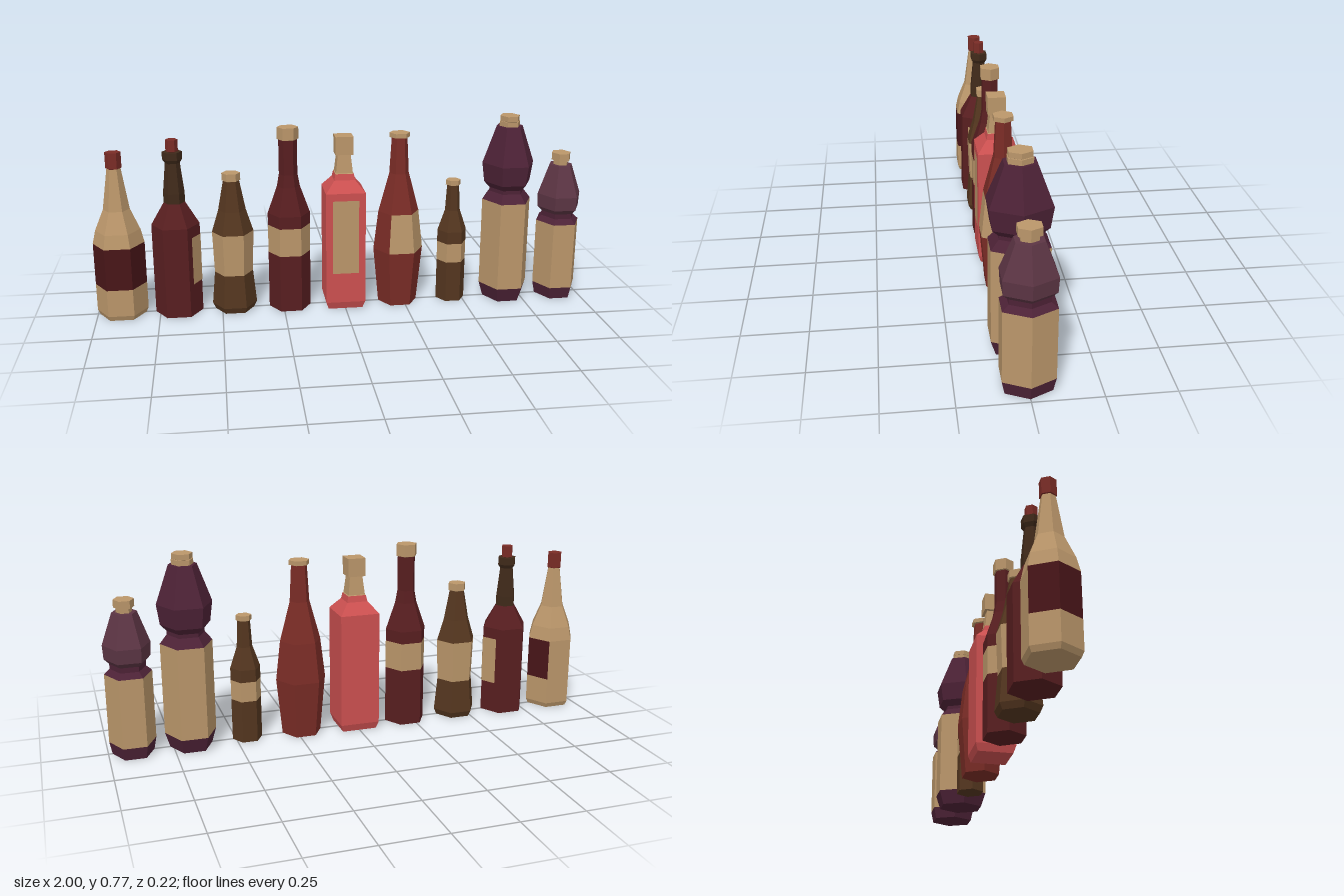
import * as THREE from 'three';

const TAN = 0xba966a, WINE = 0x581e20, MAROON = 0x481518, RUST = 0x7a2c26, PINK = 0xcc5050;
const BROWN = 0x54361f, DARK_BROWN = 0x402a1a, PURPLE = 0x4d2236, PLUM = 0x5c3544;

// A faceted bottle stacked upward, each band starting where the last one ended
class Bottle extends THREE.Group {
  constructor(name, x, sides = 6, depth = 1) {
    super();
    this.name = name;
    this.position.x = x;
    this.sides = sides;
    this.depth = depth;
    this.corner = sides === 4 ? Math.SQRT2 : 1; // square bottles use half widths
    this.end = [0, 0];
  }

  part(name, color, geometry) {
    const mesh = new THREE.Mesh(geometry.scale(1, 1, this.depth), new THREE.MeshStandardMaterial({
      color, flatShading: true, side: THREE.DoubleSide,
    }));
    mesh.name = name;
    this.add(mesh);
  }

  // Profile of [radius, y] turned over a run of faces
  faces(name, color, first, count, points) {
    const step = (2 * Math.PI) / this.sides;
    const profile = [this.end, ...points].map(([r, y]) => new THREE.Vector2(r * this.corner, y));
    this.part(name, color, new THREE.LatheGeometry(profile, count, step * (first + 0.5), step * count));
  }

  band(name, color, ...points) {
    this.faces(name, color, 0, this.sides, points);
    this.end = points.at(-1);
    return this;
  }

  // A label on some faces, with the glass showing on the others
  partLabel(color, glass, first, count, point) {
    this.faces('label', color, first, count, [point]);
    this.faces('bareSide', glass, first + count, this.sides - count, [point]);
    this.end = point;
    return this;
  }

  // A closed cap standing on the last ring
  cap(color, radius, top) {
    return this.band('cap', color, [radius, this.end[1] + 0.002], [radius, top], [0, top]);
  }

  // A flat label on one face, spanning the fractions a..b of its width
  panel(color, radius, face, a, b, y0, y1) {
    const half = Math.PI / this.sides;
    const r = radius * this.corner;
    const width = 2 * r * Math.sin(half);
    const geometry = new THREE.PlaneGeometry((b - a) * width, y1 - y0);
    geometry.translate(((a + b) / 2 - 0.5) * width, (y0 + y1) / 2, r * Math.cos(half) + 0.0015);
    this.part('label', color, geometry.rotateY(half * (2 * face + 2)));
    return this;
  }
}

function tallLightBottle() {
  return new Bottle('tallLightBottle', -0.9)
    .band('base', TAN, [0.092, 0], [0.101, 0.02], [0.101, 0.13])
    .partLabel(MAROON, TAN, 3, 5, [0.101, 0.3])
    .band('neck', TAN, [0.088, 0.355], [0.052, 0.44], [0.027, 0.605])
    .cap(RUST, 0.031, 0.67);
}

// The label wraps round the corner at the side
function slimNeckBottle() {
  return new Bottle('slimNeckBottle', -0.674)
    .band('body', WINE, [0.095, 0], [0.095, 0.37], [0.042, 0.46])
    .band('neck', DARK_BROWN, [0.042, 0.5], [0.029, 0.62], [0.039, 0.635], [0.039, 0.665], [0.02, 0.665])
    .cap(RUST, 0.024, 0.713)
    .panel(TAN, 0.095, 0, 0.3, 1, 0.13, 0.325)
    .panel(TAN, 0.095, 1, 0, 0.7, 0.13, 0.325);
}

function waistedBottle() {
  return new Bottle('waistedBottle', -0.449)
    .band('base', BROWN, [0.078, 0], [0.09, 0.025], [0.077, 0.16])
    .band('label', TAN, [0.083, 0.33])
    .band('neck', BROWN, [0.055, 0.42], [0.032, 0.54])
    .cap(TAN, 0.037, 0.572);
}

function wineBottle() {
  return new Bottle('wineBottle', -0.222)
    .band('base', WINE, [0.085, 0], [0.085, 0.235])
    .band('label', TAN, [0.085, 0.35])
    .band('neck', WINE, [0.085, 0.4], [0.046, 0.51], [0.037, 0.56], [0.037, 0.7])
    .cap(TAN, 0.043, 0.75);
}

function squareBottle() {
  return new Bottle('squareBottle', 0, 4)
    .band('body', PINK, [0.07, 0], [0.08, 0.03], [0.08, 0.49], [0.042, 0.535], [0.037, 0.56])
    .band('neck', TAN, [0.034, 0.562], [0.026, 0.635])
    .cap(TAN, 0.036, 0.71)
    .panel(TAN, 0.08, 3, 0.17, 0.83, 0.155, 0.46);
}

function swellingBottle() {
  return new Bottle('swellingBottle', 0.227)
    .band('base', RUST, [0.08, 0], [0.102, 0.23])
    .partLabel(TAN, RUST, 5, 2, [0.083, 0.39])
    .band('neck', RUST, [0.04, 0.55], [0.032, 0.695])
    .cap(TAN, 0.042, 0.715);
}

function smallBottle() {
  return new Bottle('smallBottle', 0.453)
    .band('base', BROWN, [0.06, 0], [0.06, 0.17])
    .band('label', TAN, [0.06, 0.25])
    .band('neck', BROWN, [0.06, 0.3], [0.031, 0.385], [0.025, 0.49])
    .cap(TAN, 0.031, 0.512);
}

function largeSoftBottle() {
  return new Bottle('largeSoftBottle', 0.679, 6, 1.19)
    .band('base', PURPLE, [0.083, 0], [0.101, 0.06])
    .band('label', TAN, [0.101, 0.425])
    .band('waist', PURPLE, [0.073, 0.46], [0.073, 0.475])
    .band('top', PURPLE, [0.096, 0.5], [0.107, 0.58], [0.054, 0.73], [0.042, 0.73])
    .band('neckRing', TAN, [0.042, 0.75], [0.036, 0.75])
    .cap(TAN, 0.04, 0.772);
}

function mediumSoftBottle() {
  return new Bottle('mediumSoftBottle', 0.904, 6, 1.19)
    .band('base', PURPLE, [0.08, 0], [0.09, 0.05])
    .band('label', TAN, [0.09, 0.325])
    .band('waist', PURPLE, [0.068, 0.345], [0.068, 0.365])
    .band('top', PLUM, [0.087, 0.385], [0.09, 0.44], [0.047, 0.563], [0.03, 0.563])
    .band('neckRing', TAN, [0.03, 0.58])
    .cap(TAN, 0.039, 0.612);
}

export function createModel() {
  const model = new THREE.Group();
  model.name = 'bottleRow';
  model.add(
    tallLightBottle(), slimNeckBottle(), waistedBottle(), wineBottle(), squareBottle(),
    swellingBottle(), smallBottle(), largeSoftBottle(), mediumSoftBottle(),
  );
  return model;
}
